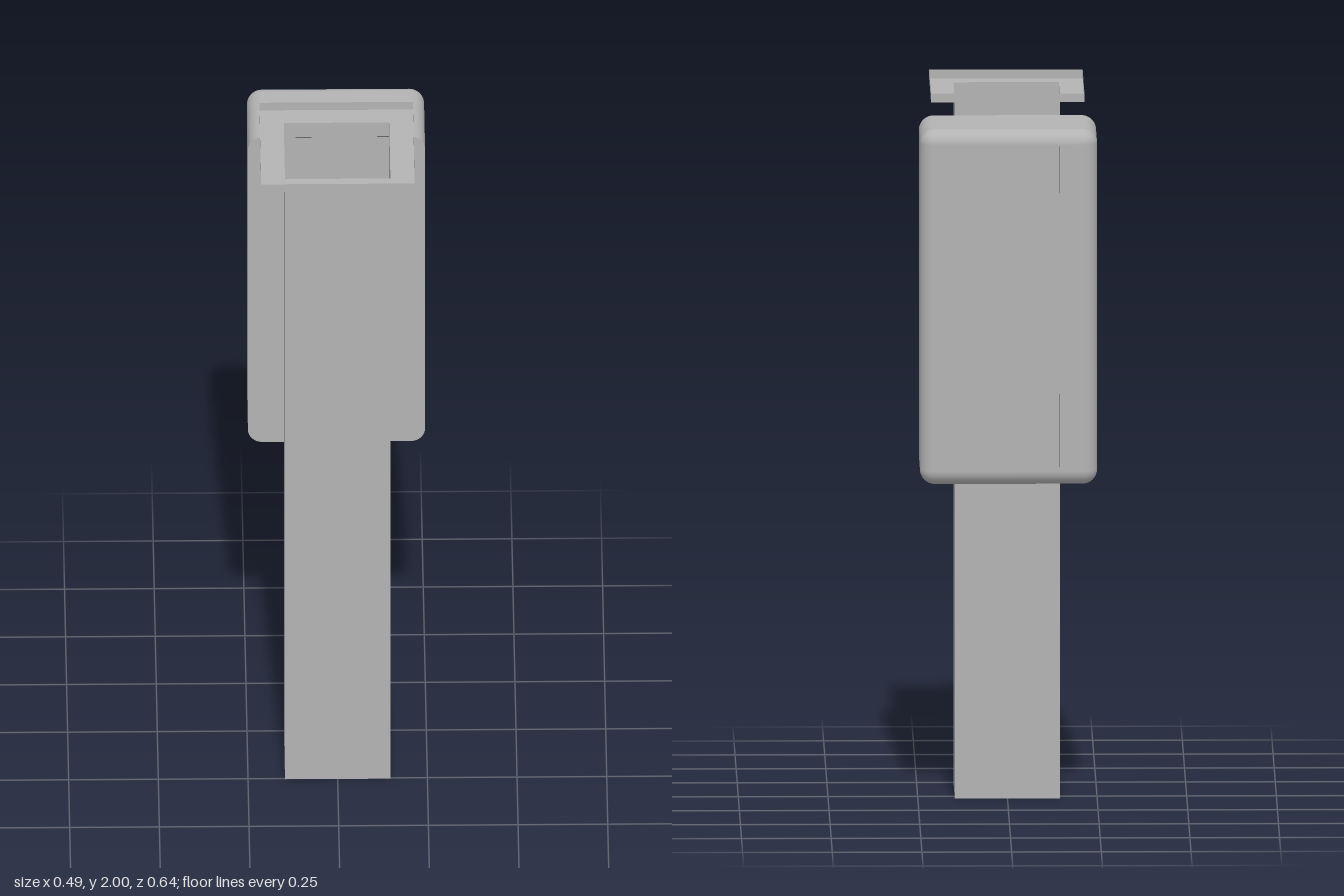
import * as THREE from 'three';

export function createModel() {
  const model = new THREE.Group();
  const grey = new THREE.MeshStandardMaterial({ color: 0xb3b3b3, side: THREE.DoubleSide });
  grey.name = 'plain grey';

  const POST = 0.147, POST_Z = 0.107, BACK_Z = POST_Z - POST; // post half width, centre and back plane
  const FLANGE = 0.214, FLANGE_Y = 1.975;
  const HW = 0.247, Y0 = 0.926, Y1 = 1.928, HOUSE_Z = -0.32, R = 0.041;

  const add = (parent, name, geometry) => {
    const mesh = new THREE.Mesh(geometry, grey);
    mesh.name = name;
    parent.add(mesh);
    return mesh;
  };
  const group = (name) => {
    const g = new THREE.Group();
    g.name = name;
    model.add(g);
    return g;
  };
  // upright sheet facing outward from the post axis, turned by quarter turns
  const wall = (parent, name, half, y0, y1, turn) =>
    add(parent, name, new THREE.PlaneGeometry(half * 2, y1 - y0)
      .translate(0, (y0 + y1) / 2, half)
      .rotateY(turn * Math.PI / 2)
      .translate(0, 0, POST_Z));
  const roundedRect = (path, x0, y0, x1, y1, r) => {
    path.moveTo(x0 + r, y0);
    path.lineTo(x1 - r, y0).absarc(x1 - r, y0 + r, r, -Math.PI / 2, 0);
    path.lineTo(x1, y1 - r).absarc(x1 - r, y1 - r, r, 0, Math.PI / 2);
    path.lineTo(x0 + r, y1).absarc(x0 + r, y1 - r, r, Math.PI / 2, Math.PI);
    path.lineTo(x0, y0 + r).absarc(x0 + r, y0 + r, r, Math.PI, Math.PI * 1.5);
    return path;
  };

  // hollow square post, open at the top and into the housing
  const post = group('post');
  for (const turn of [0, 1, 3]) wall(post, 'postWall', POST, 0, FLANGE_Y, turn);
  wall(post, 'lowerBackWall', POST, 0, Y0, 2);
  wall(post, 'upperBackWall', POST, Y1, FLANGE_Y, 2);
  add(post, 'postBase', new THREE.PlaneGeometry(POST * 2, POST * 2)
    .rotateX(Math.PI / 2).translate(0, 0, POST_Z));

  // shallow tray flange with a thin upturned rim
  const flange = group('flange');
  const floor = roundedRect(new THREE.Shape(), -FLANGE, -FLANGE, FLANGE, FLANGE, 0);
  floor.holes.push(roundedRect(new THREE.Path(), -POST, -POST, POST, POST, 0));
  add(flange, 'flangeFloor', new THREE.ShapeGeometry(floor)
    .rotateX(-Math.PI / 2).translate(0, FLANGE_Y, POST_Z));
  for (let turn = 0; turn < 4; turn++) wall(flange, 'flangeRim', FLANGE, FLANGE_Y, 2, turn);

  // housing sides: rounded-rectangle rings that curl into the back face
  const housing = group('housing');
  const ARC = 8, rings = [[BACK_Z, 0]];
  for (let i = 0; i <= ARC; i++) {
    const t = (i / ARC) * Math.PI / 2;
    rings.push([HOUSE_Z + R - R * Math.sin(t), t]);
  }
  const positions = [], normals = [], index = [];
  const count = 4 * (ARC + 1);
  for (const [z, t] of rings) {
    for (let k = 0; k < 4; k++) {
      const cx = (k === 0 || k === 3 ? 1 : -1) * (HW - R);
      const cy = k < 2 ? Y1 - R : Y0 + R;
      for (let j = 0; j <= ARC; j++) {
        const a = (k + j / ARC) * Math.PI / 2;
        const nx = Math.cos(a) * Math.cos(t), ny = Math.sin(a) * Math.cos(t);
        positions.push(cx + R * nx, cy + R * ny, z);
        normals.push(nx, ny, -Math.sin(t));
      }
    }
  }
  for (let i = 0; i < rings.length - 1; i++) {
    for (let j = 0; j < count; j++) {
      const a = i * count + j, b = i * count + (j + 1) % count;
      index.push(a, a + count, b, b, a + count, b + count);
    }
  }
  const shell = new THREE.BufferGeometry();
  shell.setAttribute('position', new THREE.Float32BufferAttribute(positions, 3));
  shell.setAttribute('normal', new THREE.Float32BufferAttribute(normals, 3));
  shell.setIndex(index);
  add(housing, 'housingSides', shell);

  // back face with an upper and a lower slot
  const back = roundedRect(new THREE.Shape(), -HW + R, Y0 + R, HW - R, Y1 - R, 0);
  back.holes.push(
    roundedRect(new THREE.Path(), -0.172, 1.752, 0.172, 1.884, 0.022),
    roundedRect(new THREE.Path(), -0.151, 0.979, 0.151, 1.186, 0.012));
  add(housing, 'housingBack', new THREE.ShapeGeometry(back)
    .rotateY(Math.PI).translate(0, 0, HOUSE_Z));

  // front strips either side of the post
  for (const s of [-1, 1]) {
    const strip = new THREE.Shape();
    strip.moveTo(POST, Y0);
    strip.lineTo(HW - R, Y0).absarc(HW - R, Y0 + R, R, -Math.PI / 2, 0);
    strip.lineTo(HW, Y1 - R).absarc(HW - R, Y1 - R, R, 0, Math.PI / 2);
    strip.lineTo(POST, Y1);
    const mesh = add(housing, s > 0 ? 'leftFrontStrip' : 'rightFrontStrip', new THREE.ShapeGeometry(strip));
    mesh.position.z = BACK_Z;
    mesh.scale.x = s;
  }

  return model;
}
